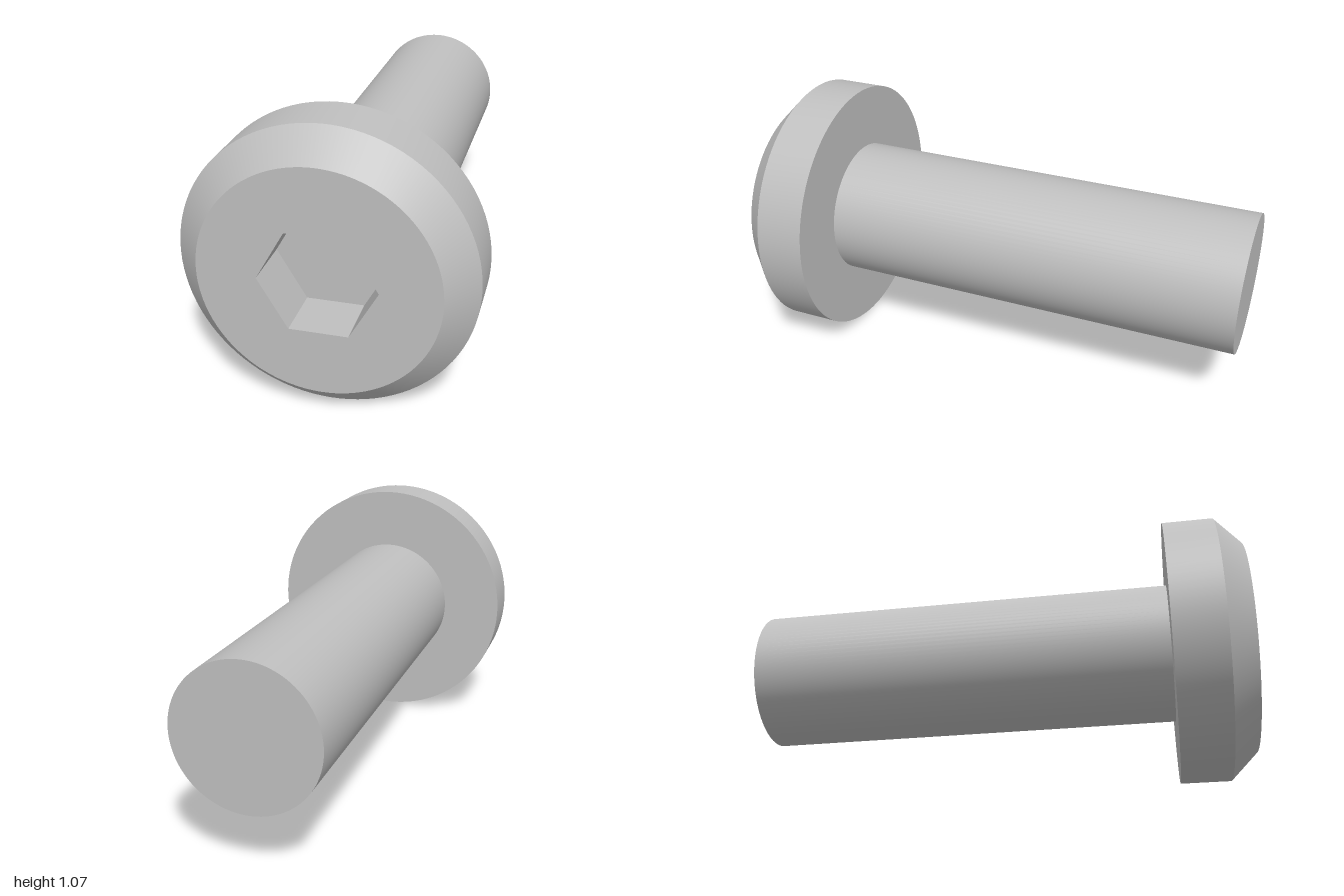
import * as THREE from 'three';
import { toCreasedNormals } from 'three/addons/utils/BufferGeometryUtils.js';

const HEAD_R = 0.533, FACE_R = 0.427, SHANK_R = 0.28, HEX_R = 0.212;
const FRONT = 1, CHAMFER = 0.893, HEAD_BACK = 0.693, SOCKET_FLOOR = 0.8, TIP = -1;

export function createModel() {
  const model = new THREE.Group();
  model.name = 'socketScrew';
  const steel = new THREE.MeshStandardMaterial({ color: 0xbfbfbf });
  steel.name = 'grey steel';

  const add = (name, geometry) => {
    const mesh = new THREE.Mesh(geometry, steel);
    mesh.name = name;
    mesh.position.y = HEAD_R;
    model.add(mesh);
  };

  // Revolve [radius, z] pairs about the z axis, keeping profile corners sharp
  const turn = (profile, segments, start = 0) => {
    const points = profile.map(([r, z]) => new THREE.Vector2(r, z));
    const lathe = new THREE.LatheGeometry(points, segments, start).rotateX(Math.PI / 2);
    return toCreasedNormals(lathe, 0.3);
  };

  // Shank with flat end
  add('shank', turn([[0, TIP], [SHANK_R, TIP], [SHANK_R, HEAD_BACK]], 96));

  // Head: underside, rim and chamfer
  add('head', turn([
    [SHANK_R, HEAD_BACK], [HEAD_R, HEAD_BACK], [HEAD_R, CHAMFER], [FACE_R, FRONT],
  ], 96));

  // Flat front face with hexagonal opening
  const face = new THREE.Shape().absarc(0, 0, FACE_R, 0, Math.PI * 2);
  const corners = Array.from({ length: 6 }, (_, i) => {
    const a = -i * Math.PI / 3;
    return new THREE.Vector2(HEX_R * Math.cos(a), HEX_R * Math.sin(a));
  });
  face.holes.push(new THREE.Path(corners));
  add('headFace', new THREE.ShapeGeometry(face, 48).translate(0, 0, FRONT));

  // Hex socket: inward-facing walls and floor
  add('hexSocket', turn([
    [HEX_R, FRONT], [HEX_R, SOCKET_FLOOR], [0, SOCKET_FLOOR],
  ], 6, Math.PI / 2));

  return model;
}
